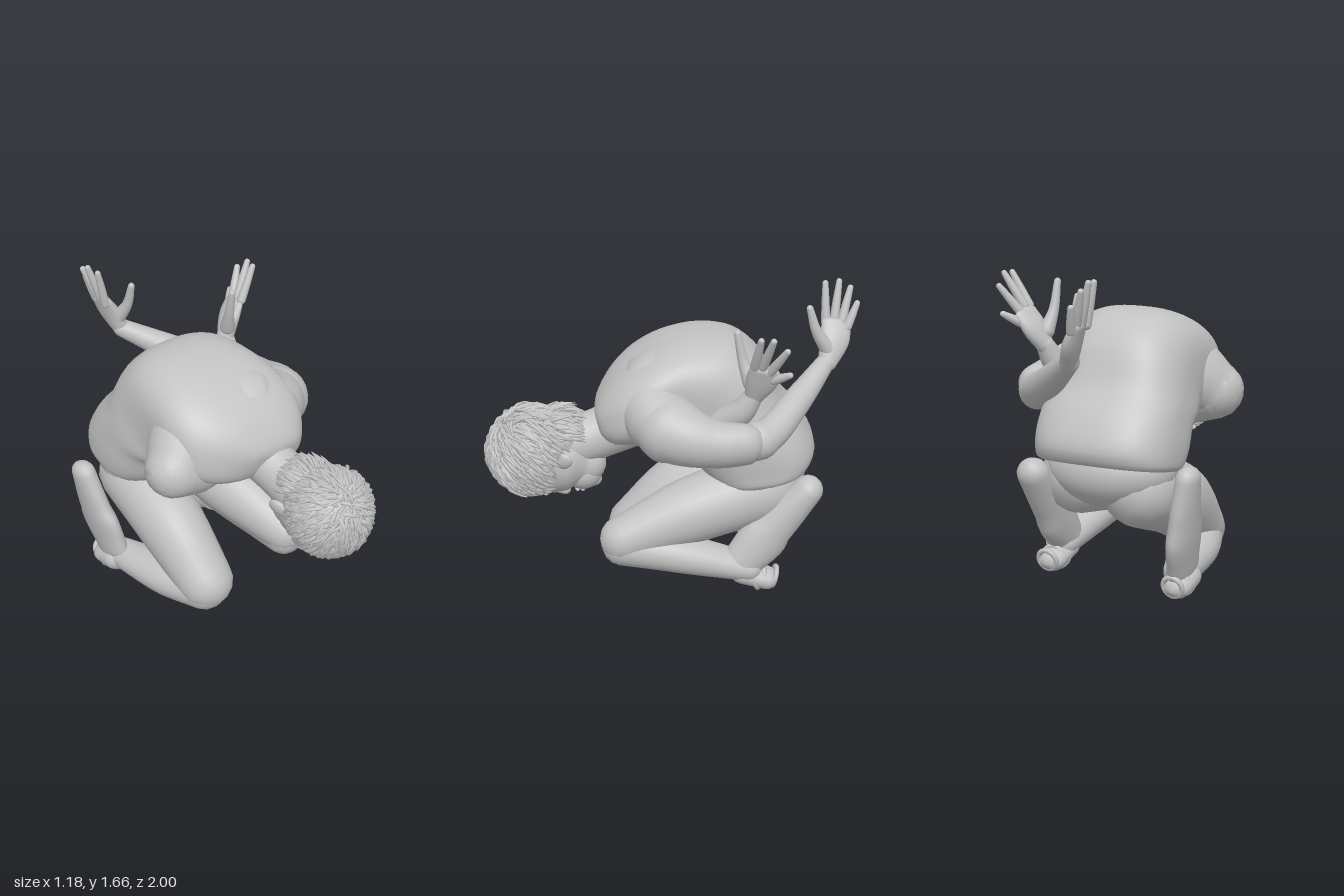
import * as THREE from 'three';
import { mergeGeometries } from 'three/addons/utils/BufferGeometryUtils.js';

const clay = new THREE.MeshStandardMaterial({ color: 0xc2c2c2, side: THREE.DoubleSide });
clay.name = 'clay grey';
const V = (x, y, z) => new THREE.Vector3(x, y, z);

// Skin a closed surface over rings { c: centre, u, v: half axes }; e < 1 squares the section
function skin(rings, sides = 24, e = 1) {
  const pos = [], idx = [];
  const pw = (k) => Math.sign(k) * Math.abs(k) ** e;
  rings.forEach(({ c, u, v }) => {
    for (let j = 0; j < sides; j++) {
      const a = (j / sides) * Math.PI * 2;
      const p = c.clone().addScaledVector(u, pw(Math.cos(a))).addScaledVector(v, pw(Math.sin(a)));
      pos.push(p.x, p.y, p.z);
    }
  });
  for (let i = 0; i < rings.length - 1; i++) {
    for (let j = 0; j < sides; j++) {
      const k = (j + 1) % sides, a = i * sides + j, b = i * sides + k;
      idx.push(a, b, a + sides, b, b + sides, a + sides);
    }
  }
  const g = new THREE.BufferGeometry();
  g.setAttribute('position', new THREE.Float32BufferAttribute(pos, 3));
  g.setIndex(idx);
  g.computeVertexNormals();
  return g;
}

// Round-ended limb through [x, y, z, radius along hint, other radius]
function limb(pts, { hint = V(1, 0, 0), steps = 6, sides = 20, caps = 4 } = {}) {
  const path = new THREE.CatmullRomCurve3(pts.map((p) => V(p[0], p[1], p[2])));
  const size = new THREE.CatmullRomCurve3(pts.map((p) => V(p[3], p[4] ?? p[3], 0)));
  const rings = [], n = (pts.length - 1) * steps;
  const add = (f, scale, push) => {
    const t = path.getTangent(f), s = size.getPoint(f);
    const u = hint.clone().addScaledVector(t, -hint.dot(t)).normalize();
    const v = t.clone().cross(u);
    const c = path.getPoint(f).addScaledVector(t, push * Math.min(s.x, s.y));
    rings.push({ c, u: u.multiplyScalar(s.x * scale), v: v.multiplyScalar(s.y * scale) });
  };
  for (let k = caps; k > 0; k--) {
    const a = (k / caps) * Math.PI / 2;
    add(0, Math.cos(a) + 0.001, -Math.sin(a));
  }
  for (let i = 0; i <= n; i++) add(i / n, 1, 0);
  for (let k = 1; k <= caps; k++) {
    const a = (k / caps) * Math.PI / 2;
    add(1, Math.cos(a) + 0.001, Math.sin(a));
  }
  return skin(rings, sides);
}

export function createModel() {
  const model = new THREE.Group();
  model.name = 'kneelingFigure';
  const part = (name, geometry, parent = model) => {
    const m = new THREE.Mesh(geometry, clay);
    m.name = name;
    parent.add(m);
    return m;
  };
  const group = (name) => {
    const g = new THREE.Group();
    g.name = name;
    model.add(g);
    return g;
  };
  const ball = (name, p, r, parent) => {
    const m = part(name, new THREE.SphereGeometry(1, 28, 20), parent);
    m.position.set(...p);
    m.scale.set(...r);
    return m;
  };

  // Shirt: sagittal sections [back z, back y, front z, front y, centre x, half width]
  const shirt = [
    [-0.70, 0.73, -0.28, 0.64, -0.07, 0.02], [-0.73, 0.72, -0.22, 0.63, -0.07, 0.36],
    [-0.765, 0.80, -0.13, 0.71, -0.07, 0.385], [-0.69, 0.96, -0.06, 0.83, -0.06, 0.385],
    [-0.57, 1.10, 0.0, 0.86, -0.06, 0.375], [-0.47, 1.30, 0.07, 0.87, -0.05, 0.36],
    [-0.33, 1.42, 0.13, 0.87, -0.04, 0.36], [-0.15, 1.45, 0.18, 0.87, -0.03, 0.365],
    [0.05, 1.41, 0.24, 0.88, -0.01, 0.375], [0.21, 1.33, 0.30, 0.89, 0.01, 0.35],
    [0.33, 1.23, 0.35, 0.91, 0.04, 0.27], [0.41, 1.11, 0.38, 0.95, 0.08, 0.16],
    [0.42, 1.04, 0.40, 1.0, 0.09, 0.01],
  ];
  const spine = new THREE.CatmullRomCurve3(shirt.map((s) => V(s[4], s[1], s[0])));
  const belly = new THREE.CatmullRomCurve3(shirt.map((s) => V(s[5], s[3], s[2])));
  const shirtRings = Array.from({ length: 49 }, (_, i) => {
    const b = spine.getPoint(i / 48), f = belly.getPoint(i / 48);
    return {
      c: V(b.x, (b.y + f.y) / 2, (b.z + f.z) / 2),
      u: V(f.x, 0, 0),
      v: V(0, (b.y - f.y) / 2, (b.z - f.z) / 2),
    };
  });
  part('shirt', skin(shirtRings, 48, 0.76));

  // Trouser seat
  ball('seat', [-0.07, 0.66, -0.45], [0.36, 0.21, 0.28]);

  // Legs folded under the body
  const legs = {
    left: {
      thigh: [[0.1, 0.6, -0.48, 0.2], [0.18, 0.49, -0.08, 0.175, 0.18], [0.26, 0.37, 0.28, 0.12, 0.125]],
      shin: [[0.26, 0.33, 0.28, 0.11], [0.27, 0.28, -0.03, 0.115, 0.105], [0.27, 0.19, -0.4, 0.09, 0.075]],
      heel: [[0.24, 0.64, -0.71, 0.085, 0.08], [0.25, 0.42, -0.53, 0.085, 0.11], [0.27, 0.21, -0.35, 0.085, 0.11]],
      foot: [[0.27, 0.16, -0.36, 0.08, 0.06], [0.27, 0.12, -0.5, 0.08, 0.06]],
    },
    right: {
      thigh: [[-0.24, 0.56, -0.45, 0.2], [-0.25, 0.42, -0.08, 0.185, 0.2], [-0.23, 0.2, 0.21, 0.155, 0.15]],
      shin: [[-0.23, 0.16, 0.22, 0.14, 0.12], [-0.32, 0.14, 0.0, 0.135, 0.11], [-0.42, 0.12, -0.35, 0.09, 0.08]],
      heel: [[-0.54, 0.66, -0.5, 0.06, 0.08], [-0.5, 0.42, -0.46, 0.065, 0.13], [-0.45, 0.16, -0.38, 0.065, 0.13]],
      foot: [[-0.45, 0.1, -0.34, 0.08, 0.07], [-0.45, 0.07, -0.45, 0.08, 0.06]],
    },
  };
  for (const [side, leg] of Object.entries(legs)) {
    const g = group(side + 'Leg');
    for (const [name, pts] of Object.entries(leg)) part(name, limb(pts, { sides: 28 }), g);
    // Crumpled trouser cuff
    const [x, y, z] = leg.foot[1];
    for (let i = 0; i < 3; i++) {
      const cuff = part('cuffFold', new THREE.TorusGeometry(0.066 - i * 0.006, 0.014, 8, 24), g);
      cuff.position.set(x, y + 0.01, z + 0.07 - i * 0.055);
      cuff.rotation.x = 0.35 - i * 0.3;
    }
  }

  // Arms: shoulder, sleeve, forearm and spread hand
  const arms = {
    left: {
      shoulder: [[0.1, 1.18, 0.08, 0.21], [0.28, 1.11, 0.1, 0.18], [0.41, 1.06, -0.03, 0.16]],
      sleeve: [[0.3, 1.09, 0.1, 0.16], [0.41, 1.06, -0.02, 0.16], [0.45, 1.02, -0.2, 0.12, 0.13], [0.44, 1.01, -0.35, 0.1, 0.12]],
      forearm: [[0.43, 1.0, -0.34, 0.09], [0.36, 1.02, -0.47, 0.09], [0.15, 1.13, -0.65, 0.075], [-0.05, 1.25, -0.81, 0.05]],
      palm: [[-0.05, 1.25, -0.82, 0.052, 0.045], [-0.1, 1.36, -0.86, 0.082, 0.042], [-0.14, 1.44, -0.87, 0.08, 0.028]],
      knuckles: [[-0.15, 1.44, -0.815], [-0.15, 1.46, -0.86], [-0.145, 1.45, -0.9], [-0.135, 1.42, -0.93]],
      tips: [[-0.19, 1.645, -0.81], [-0.205, 1.65, -0.885], [-0.2, 1.615, -0.945], [-0.165, 1.54, -0.98]],
      thumb: [[-0.07, 1.32, -0.82, 0.042], [-0.045, 1.43, -0.755, 0.028], [-0.04, 1.56, -0.715, 0.018]],
    },
    right: {
      shoulder: [[-0.1, 1.16, 0.02, 0.22], [-0.25, 1.08, 0.07, 0.2], [-0.37, 0.99, 0.13, 0.155]],
      sleeve: [[-0.37, 0.99, 0.13, 0.155], [-0.22, 0.945, 0.12, 0.15], [-0.02, 0.9, 0.07, 0.1]],
      forearm: [[0.0, 0.89, 0.06, 0.08], [0.2, 1.0, -0.14, 0.085], [0.33, 1.14, -0.33, 0.07], [0.36, 1.25, -0.4, 0.048]],
      palm: [[0.36, 1.25, -0.4, 0.052, 0.045], [0.41, 1.35, -0.43, 0.082, 0.042], [0.45, 1.42, -0.44, 0.078, 0.028]],
      knuckles: [[0.46, 1.45, -0.39], [0.465, 1.45, -0.43], [0.46, 1.42, -0.47], [0.45, 1.37, -0.49]],
      tips: [[0.55, 1.62, -0.41], [0.56, 1.62, -0.47], [0.545, 1.56, -0.54], [0.51, 1.42, -0.56]],
      thumb: [[0.36, 1.32, -0.38, 0.042], [0.34, 1.43, -0.34, 0.027], [0.335, 1.575, -0.31, 0.018]],
    },
  };
  for (const [side, arm] of Object.entries(arms)) {
    const g = group(side + 'Arm'), hint = V(side === 'left' ? -0.2 : 0.2, 0, -1);
    part('shoulder', limb(arm.shoulder, { sides: 28, hint: V(0, 1, 0) }), g);
    for (const name of ['sleeve', 'forearm', 'palm', 'thumb']) {
      part(name, limb(arm[name], { sides: 24, hint }), g);
    }
    arm.knuckles.forEach((k, i) => {
      const t = arm.tips[i], mid = k.map((a, j) => (a + t[j]) / 2);
      part('finger', limb([[...k, 0.025], [...mid, 0.022], [...t, 0.016]], { sides: 12, steps: 3, hint }), g);
    });
  }

  // Neck and collar
  part('neck', limb([[0.08, 1.0, 0.22, 0.15], [0.11, 0.92, 0.42, 0.13, 0.135], [0.13, 0.88, 0.6, 0.14]], { sides: 28 }));
  const collar = part('collar', new THREE.TorusGeometry(0.14, 0.014, 10, 36));
  collar.position.set(0.09, 0.98, 0.33);
  collar.rotation.x = 0.35;

  // Head, bowed so the face looks at the ground
  const head = group('head');
  part('face', limb([[0.14, 0.77, 0.46, 0.1, 0.11], [0.14, 0.79, 0.54, 0.15, 0.17], [0.15, 0.81, 0.7, 0.19, 0.195]], { sides: 32 }), head);
  ball('jaw', [0.14, 0.725, 0.485], [0.105, 0.1, 0.105], head);
  part('nose', limb([[0.14, 0.635, 0.67, 0.018], [0.14, 0.615, 0.61, 0.024], [0.14, 0.613, 0.58, 0.032, 0.028]], { sides: 14 }), head);
  for (const z of [0.487, 0.515]) ball('lip', [0.14, 0.627, z], [0.045, 0.018, 0.016], head);
  ball('chin', [0.14, 0.675, 0.425], [0.05, 0.035, 0.04], head);
  for (const s of [-1, 1]) {
    ball('eye', [0.14 + s * 0.065, 0.65, 0.635], [0.03, 0.02, 0.018], head);
    ball('brow', [0.14 + s * 0.065, 0.64, 0.68], [0.05, 0.018, 0.018], head);
    const ear = ball('ear', [0.135 + s * 0.17, 0.86, 0.585], [0.022, 0.045, 0.06], head);
    ear.rotation.set(0.5, s * -0.4, 0);
  }

  // Hair: smooth caps covered with tufts combed away from the crown
  ball('hairCap', [0.155, 0.86, 0.765], [0.21, 0.222, 0.2], head);
  ball('napeHair', [0.135, 0.935, 0.6], [0.14, 0.13, 0.13], head);
  let seed = 7;
  const rnd = () => (seed = (seed * 16807) % 2147483647) / 2147483647;
  const crown = V(0.15, 1.03, 0.92), tufts = [];
  const growTufts = (count, centre, radii, covered) => {
    for (let i = 0; i < count; i++) {
      const y = 1 - (2 * (i + 0.5)) / count, r = Math.sqrt(1 - y * y), a = i * 2.39996;
      const n = V(r * Math.cos(a), y, r * Math.sin(a));
      const p = n.clone().multiply(radii).add(centre);
      if (!covered(p)) continue;
      const flow = p.clone().sub(crown).add(V(rnd() - 0.5, rnd() - 0.5, rnd() - 0.5).multiplyScalar(0.16));
      flow.addScaledVector(n, -flow.dot(n)).normalize();
      const len = 0.06 + rnd() * 0.07, lift = 0.004 + rnd() * 0.012;
      const m = p.clone().addScaledVector(flow, len * 0.5).addScaledVector(n, lift);
      const t = p.clone().addScaledVector(flow, len).addScaledVector(n, lift - len * 0.15);
      tufts.push(limb([[...p, 0.01, 0.011], [...m, 0.009, 0.01], [...t, 0.002]], { hint: n, steps: 2, sides: 6, caps: 1 }));
    }
  };
  growTufts(900, V(0.155, 0.86, 0.755), V(0.213, 0.228, 0.217), (p) => p.z > 0.62 + (0.95 - p.y) * 0.4);
  growTufts(420, V(0.135, 0.935, 0.6), V(0.145, 0.137, 0.135), (p) => p.y > 0.97 && p.z < 0.72);
  part('hairTufts', mergeGeometries(tufts), head);

  return model;
}
